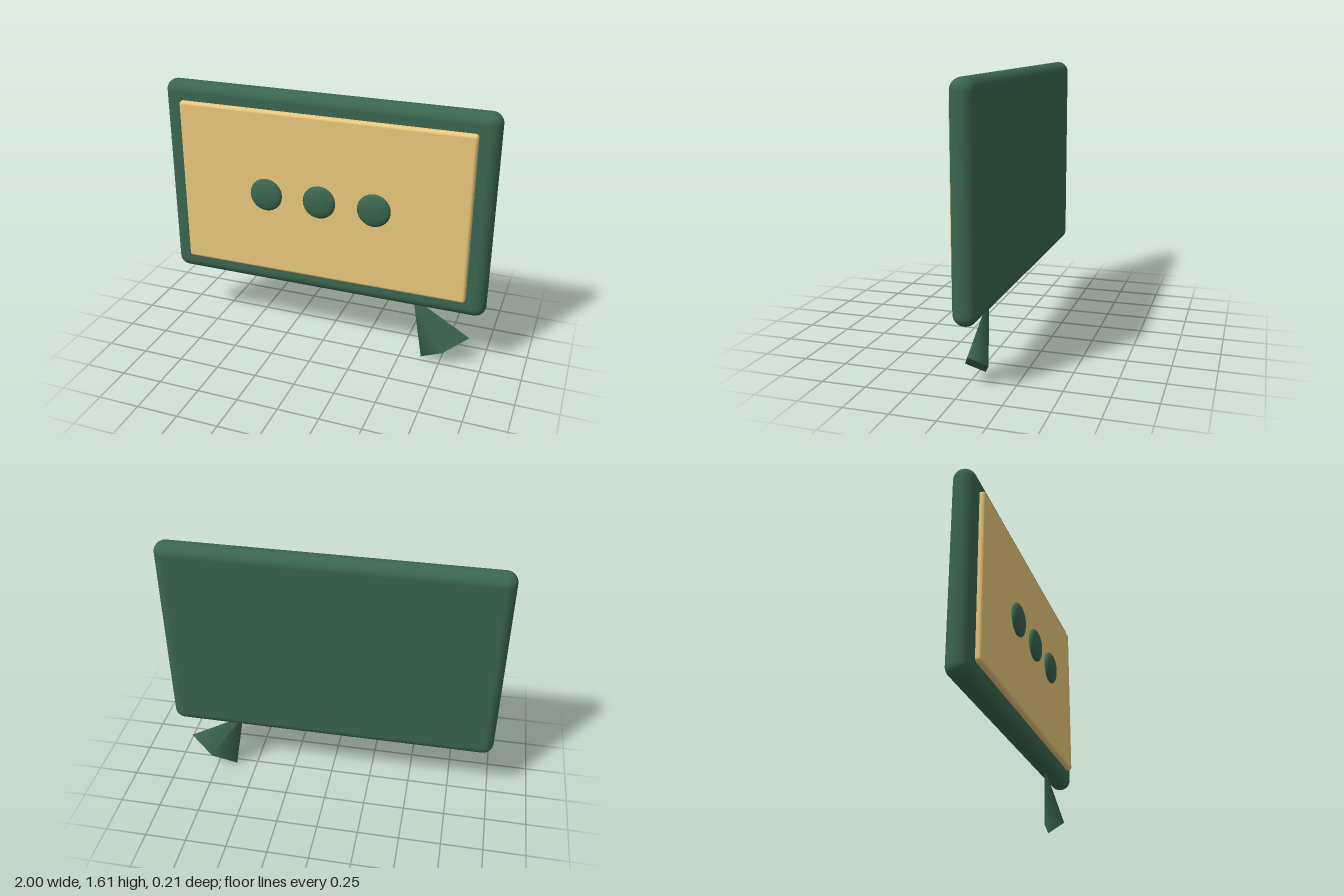
import * as THREE from 'three';
import { RoundedBoxGeometry } from 'three/addons/geometries/RoundedBoxGeometry.js';

const green = new THREE.MeshStandardMaterial({ color: 0x3a664f });
const yellow = new THREE.MeshStandardMaterial({ color: 0xe9c87c });

export function createModel() {
  const group = new THREE.Group();
  const add = (name, geometry, material, x, y, z) => {
    const mesh = new THREE.Mesh(geometry, material);
    mesh.name = name;
    mesh.position.set(x, y, z);
    group.add(mesh);
    return mesh;
  };

  // Speech bubble slab with fully rounded rim
  add('bubbleBody', new RoundedBoxGeometry(2, 1.24, 0.132, 8, 0.065), green, 0, 1, -0.038);

  // Raised front panel
  add('frontPanel', new RoundedBoxGeometry(1.775, 1.02, 0.06, 5, 0.018), yellow, 0, 1, 0.03);

  // Three flattened dots
  const dot = new THREE.SphereGeometry(0.1, 32, 20);
  for (const x of [-0.333, 0, 0.333]) {
    add('dot', dot, green, x, 1, 0.073).scale.z = 0.32;
  }

  // Four-sided flattened tail, tip tucked into the underside
  const tail = add('tail', new THREE.ConeGeometry(0.175, 0.374, 4), green, 0.669, 0.262, -0.038);
  tail.rotation.z = 0.6;
  tail.scale.z = 0.375;

  return group;
}
